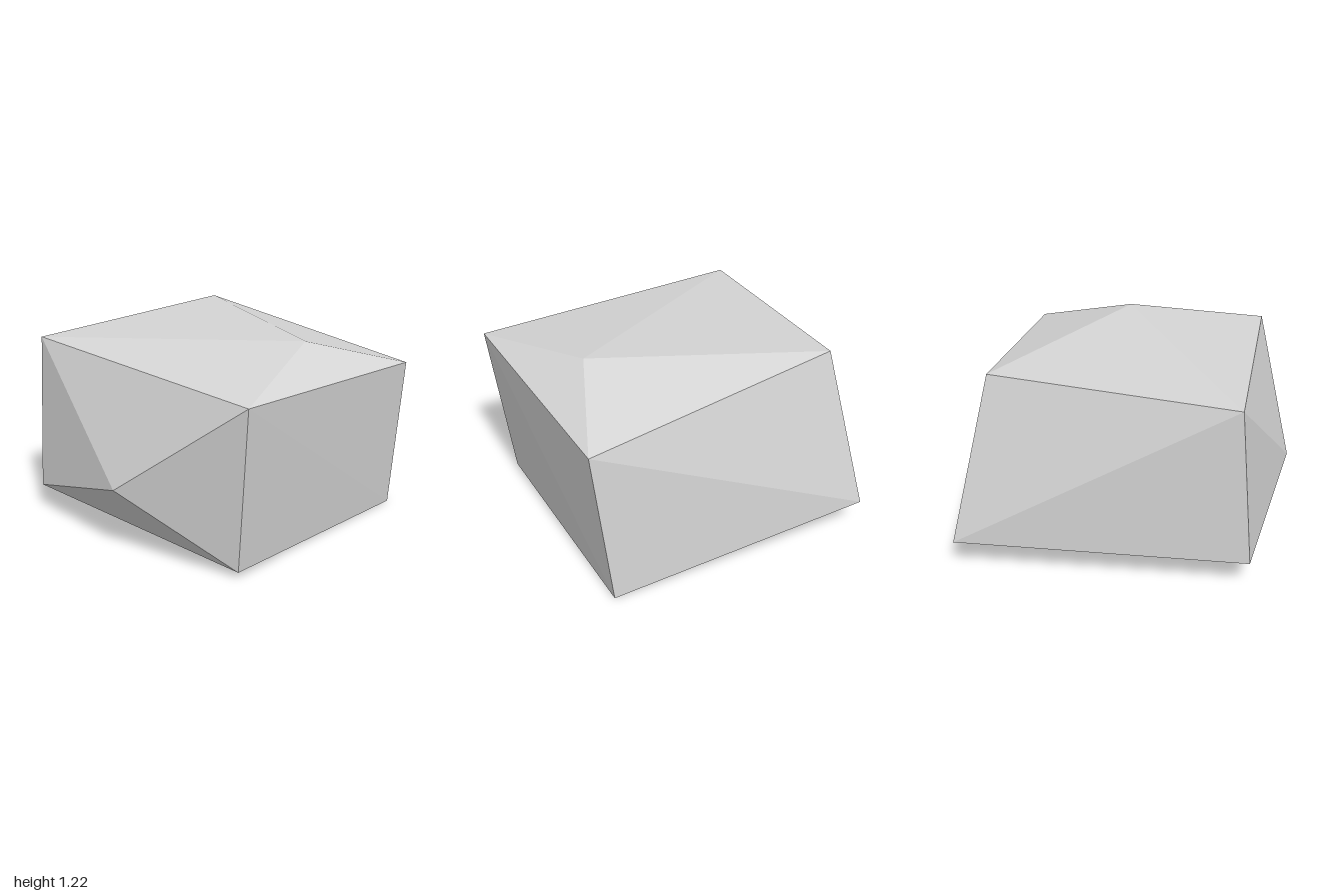
import * as THREE from 'three';
import { ConvexGeometry } from 'three/addons/geometries/ConvexGeometry.js';

export function createModel() {
  const model = new THREE.Group();
  model.name = 'boulder';

  const stoneGrey = new THREE.MeshStandardMaterial({ color: 0xd5d5d5, flatShading: true });
  stoneGrey.name = 'pale stone grey';

  // Corners of the faceted stone
  const corners = [
    // sloping top
    [-0.817, 1.063, 0.85], [0.733, 1.0, 0.917], [0.77, 1.218, -0.7],
    [-0.69, 1.152, -0.918], [0.073, 1.213, 0.588],
    // bulge on the side
    [-1.0, 0.435, 0.0],
    // base
    [0.78, 0, 0.81], [-0.745, 0.04, 0.73], [-0.77, 0.168, -0.9], [1.0, 0.185, -0.87],
  ].map((p) => new THREE.Vector3(...p));

  const stone = new THREE.Mesh(new ConvexGeometry(corners), stoneGrey);
  stone.name = 'stone';
  model.add(stone);
  return model;
}
